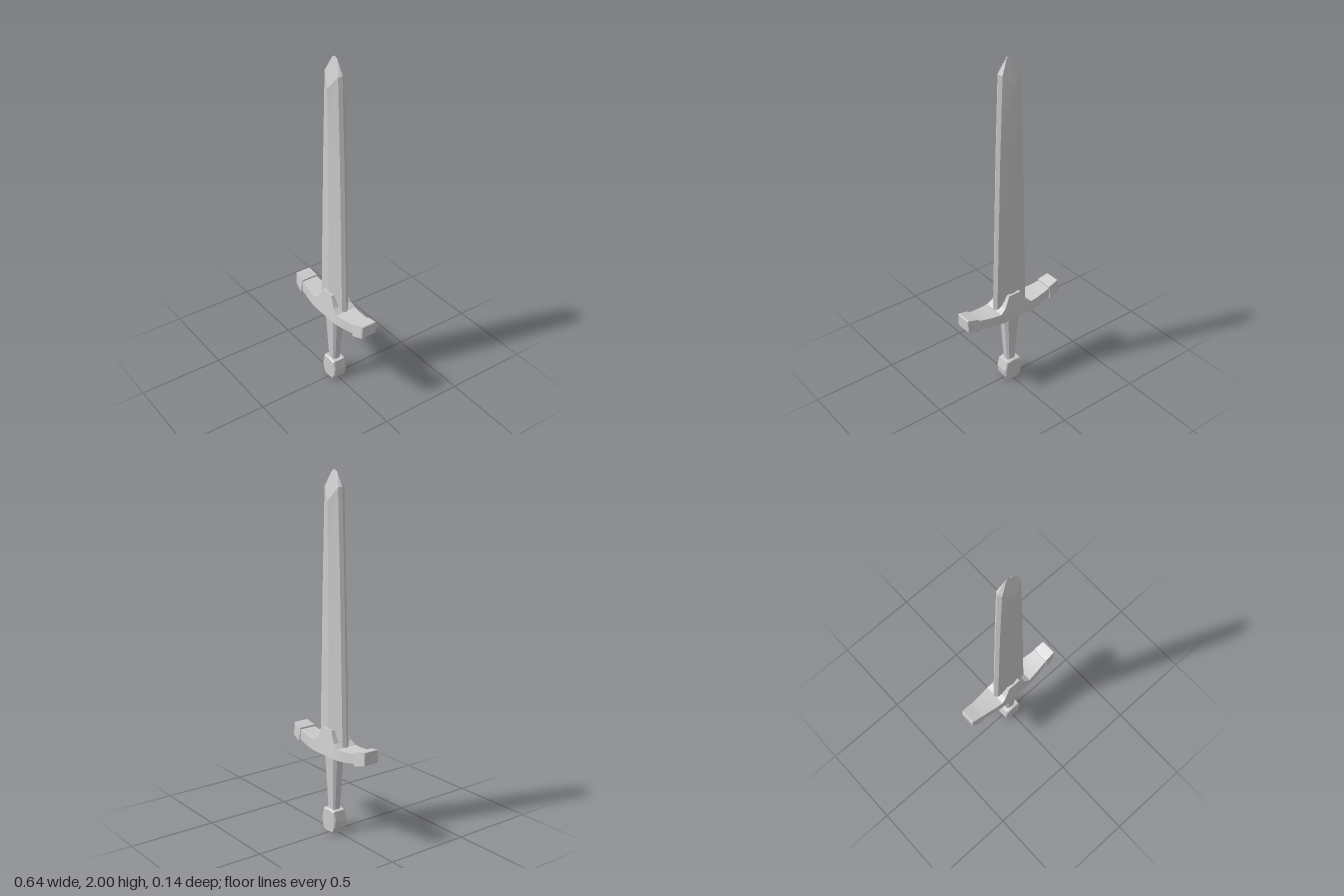
import * as THREE from 'three';
import { toCreasedNormals } from 'three/addons/utils/BufferGeometryUtils.js';

// Skin a row of closed rings of [x, y, z] points, with both ends capped
function loft(rings, crease = 0.15) {
  const out = [];
  const tri = (a, b, c) => out.push(...a, ...b, ...c);
  const n = rings[0].length;
  for (let r = 0; r < rings.length - 1; r++) {
    const a = rings[r], b = rings[r + 1];
    for (let i = 0; i < n; i++) {
      const j = (i + 1) % n;
      tri(a[i], b[i], a[j]);
      tri(a[j], b[i], b[j]);
    }
  }
  const first = rings[0], last = rings[rings.length - 1];
  for (let i = 1; i < n - 1; i++) {
    tri(first[0], first[i], first[i + 1]);
    tri(last[0], last[i + 1], last[i]);
  }
  const geo = new THREE.BufferGeometry();
  geo.setAttribute('position', new THREE.Float32BufferAttribute(out, 3));
  geo.computeVertexNormals();
  return toCreasedNormals(geo, crease);
}

// Blade section: cutting edge, bevel line and central ridge, mirrored four ways
function bladeRing([ex, ey], [bx, by, bz], [ry, rz]) {
  return [
    [ex, ey, 0], [bx, by, bz], [0, ry, rz], [-bx, by, bz],
    [-ex, ey, 0], [-bx, by, -bz], [0, ry, -rz], [bx, by, -bz],
  ];
}

// Grip section: rectangle with chamfered corners
function gripRing(y, x, z) {
  const cx = x * 0.68, cz = z * 0.55;
  return [
    [x, y, -cz], [x, y, cz], [cx, y, z], [-cx, y, z],
    [-x, y, cz], [-x, y, -cz], [-cx, y, -z], [cx, y, -z],
  ];
}

// Guard section: trapezoid, wider at the bottom than at the top
const guardRing = ([x, top, topZ, bottom, bottomZ]) => [
  [x, top, topZ], [x, top, -topZ], [x, bottom, -bottomZ], [x, bottom, bottomZ],
];
const mirrored = (stations) => stations.map(([x, ...rest]) => [-x, ...rest]).reverse();

export function createModel() {
  const group = new THREE.Group();
  const steel = new THREE.MeshStandardMaterial({ color: 0xcccccc });
  steel.name = 'steel grey';
  const add = (name, geo) => {
    const mesh = new THREE.Mesh(geo, steel);
    mesh.name = name;
    group.add(mesh);
    return mesh;
  };

  // Tapered blade ending in diamond-shaped tip facets
  add('blade', loft([
    bladeRing([0.113, 0.5], [0.1, 0.5, 0.02], [0.5, 0.04]),
    bladeRing([0.085, 1.45], [0.074, 1.45, 0.02], [1.45, 0.041]),
    bladeRing([0.067, 1.915], [0.057, 1.91, 0.02], [1.84, 0.045]),
    bladeRing([0.022, 1.988], [0.017, 1.99, 0.003], [2, 0.001]),
  ]));

  // Curved crossguard with a flare rising around the foot of the blade
  const arm = [
    [0.04, 0.61, 0.05, 0.463, 0.071],
    [0.055, 0.577, 0.054, 0.463, 0.071],
    [0.075, 0.545, 0.06, 0.463, 0.071],
    [0.106, 0.522, 0.066, 0.464, 0.071],
    [0.155, 0.524, 0.06, 0.467, 0.065],
    [0.205, 0.53, 0.054, 0.474, 0.058],
    [0.255, 0.539, 0.048, 0.483, 0.052],
  ];
  add('crossguard', loft([...mirrored(arm), ...arm].map(guardRing), 0.3));

  // Flared caps at both ends of the guard
  const cap = [
    [0.25, 0.547, 0.05, 0.473, 0.061],
    [0.256, 0.549, 0.05, 0.473, 0.061],
    [0.316, 0.564, 0.045, 0.488, 0.048],
    [0.32, 0.561, 0.041, 0.492, 0.043],
  ];
  add('leftGuardCap', loft(cap.map(guardRing)));
  add('rightGuardCap', loft(mirrored(cap).map(guardRing)));

  // Grip narrowing towards the pommel
  add('grip', loft([gripRing(0.12, 0.027, 0.025), gripRing(0.48, 0.054, 0.038)]));

  // Faceted pommel with bevelled front and back
  const side = [[0.036, 0.009], [0.05, 0.038], [0.054, 0.075], [0.042, 0.127]];
  const outline = [
    [0, 0.006], ...side, [0, 0.133], ...side.map(([x, y]) => [-x, y]).reverse(),
  ].map(([x, y]) => new THREE.Vector2(x, y));
  const pommel = new THREE.ExtrudeGeometry(new THREE.Shape(outline), {
    depth: 0.068, bevelEnabled: true, bevelSize: 0.006, bevelThickness: 0.008, bevelSegments: 1,
  });
  pommel.translate(0, 0, -0.034);
  add('pommel', pommel);

  return group;
}
